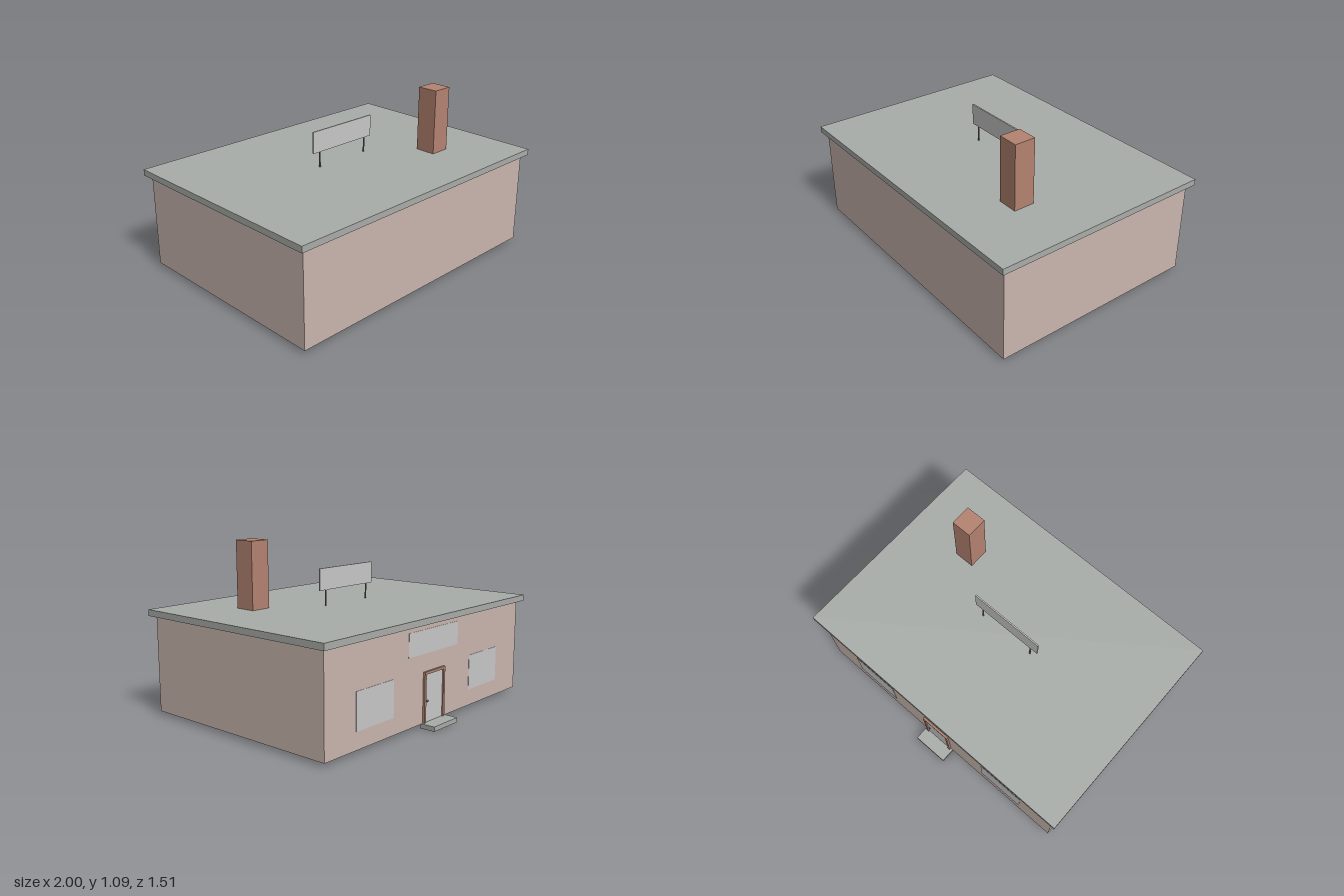
import * as THREE from 'three';

const mat = (name, color) => {
  const m = new THREE.MeshStandardMaterial({ color });
  m.name = name;
  return m;
};

export function createModel() {
  const wall = mat('wall pink', 0xc9b6ae);
  const concrete = mat('roof grey', 0xa9ada9);
  const panel = mat('panel grey', 0xc8c8c8);
  const brick = mat('brick brown', 0xb48371);
  const metal = mat('dark metal', 0x707070);
  const group = new THREE.Group();

  const add = (name, geometry, material, x, y, z) => {
    const mesh = new THREE.Mesh(geometry, material);
    mesh.name = name;
    mesh.position.set(x, y, z);
    group.add(mesh);
    return mesh;
  };
  // Box given by its extents on each axis
  const box = (name, material, [x0, x1], [y0, y1], [z0, z1]) =>
    add(name, new THREE.BoxGeometry(x1 - x0, y1 - y0, z1 - z0), material,
      (x0 + x1) / 2, (y0 + y1) / 2, (z0 + z1) / 2);

  // Building shell
  box('walls', wall, [-0.965, 0.965], [0.025, 0.63], [-0.66, 0.725]);
  box('roof', concrete, [-1, 1], [0.63, 0.67], [-0.695, 0.757]);
  box('chimney', brick, [0.482, 0.616], [0.67, 1.09], [0.24, 0.377]);

  // Rooftop board on two posts
  box('roofBoard', panel, [-0.25, 0.25], [0.77, 0.908], [0.026, 0.035]);
  for (const side of [-1, 1]) {
    add('boardPost', new THREE.CylinderGeometry(0.005, 0.005, 0.1, 12), metal, side * 0.194, 0.72, 0.03);
  }

  // Back wall: blank sign and two windows
  box('wallSign', panel, [-0.25, 0.25], [0.45, 0.595], [-0.662, -0.659]);
  for (const side of [-1, 1]) {
    const c = side * 0.55;
    box('window', panel, [c - 0.163, c + 0.163], [0.13, 0.355], [-0.662, -0.659]);
  }

  // Back door with frame, knob and step
  box('door', panel, [-0.088, 0.088], [0.029, 0.325], [-0.665, -0.659]);
  for (const side of [-1, 1]) {
    const c = side * 0.096;
    box('doorJamb', brick, [c - 0.008, c + 0.008], [0.029, 0.325], [-0.674, -0.659]);
  }
  box('doorLintel', brick, [-0.104, 0.104], [0.325, 0.341], [-0.674, -0.659]);
  add('doorKnob', new THREE.SphereGeometry(0.006, 12, 8), metal, 0.07, 0.16, -0.67);
  box('doorStep', concrete, [-0.12, 0.12], [0, 0.029], [-0.757, -0.659]);

  return group;
}
